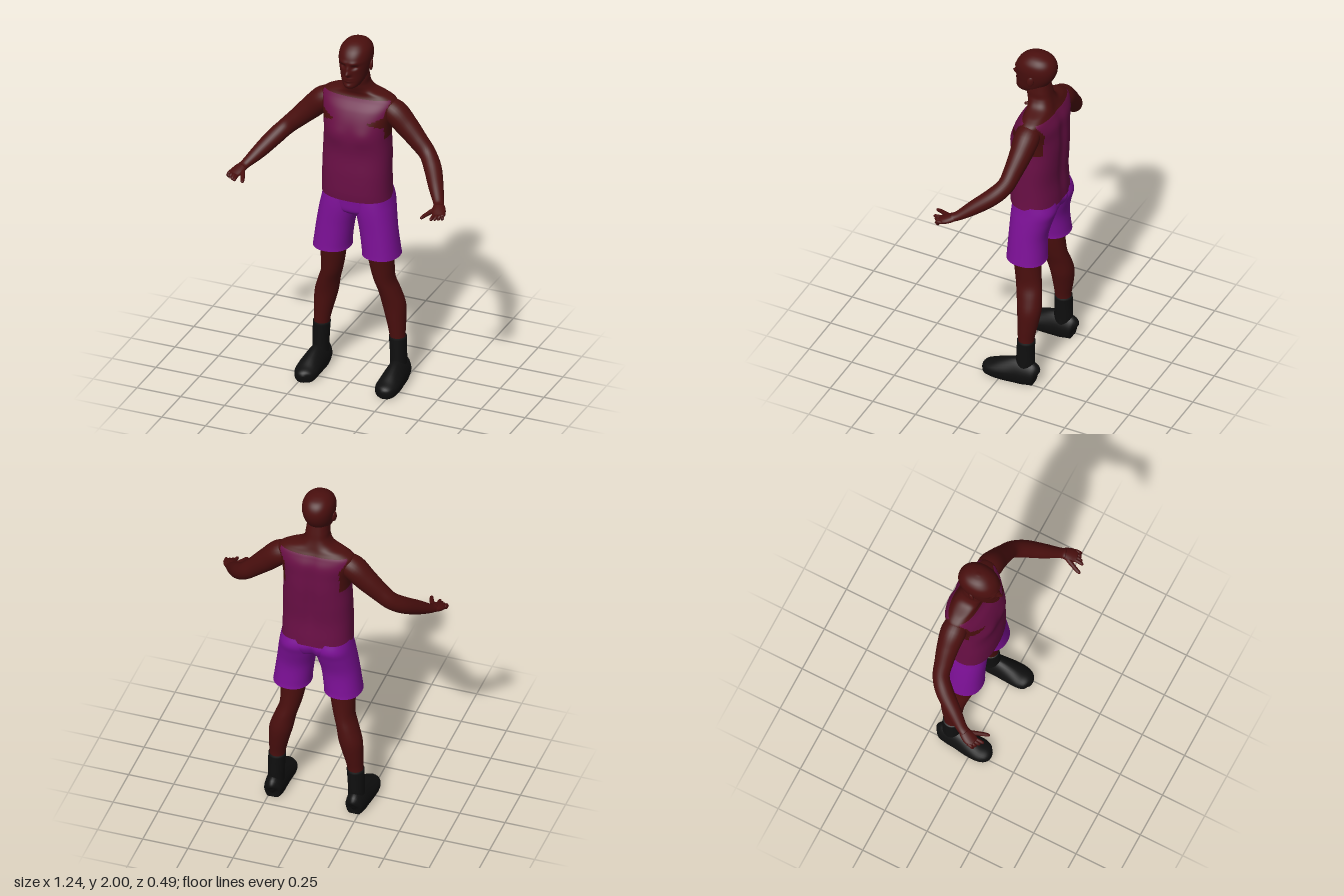
import * as THREE from 'three';

const mat = (name, color, side = THREE.FrontSide) => {
  const m = new THREE.MeshStandardMaterial({ color, side });
  m.name = name;
  return m;
};

// Smooth interpolation through a list of equally long number rows
function sample(rows, t) {
  const f = t * (rows.length - 1);
  const i = Math.min(Math.floor(f), rows.length - 2);
  const s = f - i;
  const at = (k) => rows[Math.max(0, Math.min(rows.length - 1, k))];
  const [a, b, c, d] = [at(i - 1), at(i), at(i + 1), at(i + 2)];
  return b.map((_, k) => 0.5 * (2 * b[k] + (c[k] - a[k]) * s
    + (2 * a[k] - 5 * b[k] + 4 * c[k] - d[k]) * s * s
    + (3 * b[k] - a[k] - 3 * c[k] + d[k]) * s * s * s));
}

// Closed skin over rings; ring(t) returns a centre and a point function.
// pick(point) chooses a material index for each quad.
function skinOver(ring, { rows = 24, cols = 28, caps = true, bump, pick } = {}) {
  const pts = [];
  const ends = [];
  for (let i = 0; i <= rows; i++) {
    const { centre, point } = ring(i / rows);
    if (i === 0 || i === rows) ends.push(centre);
    for (let j = 0; j < cols; j++) {
      const p = point((j / cols) * Math.PI * 2);
      if (bump) bump(p);
      pts.push(p);
    }
  }
  const faces = [[], []];
  const id = (i, j) => i * cols + (j % cols);
  for (let i = 0; i < rows; i++) for (let j = 0; j < cols; j++) {
    const [a, b, c, d] = [id(i, j), id(i + 1, j), id(i, j + 1), id(i + 1, j + 1)];
    const mid = pts[a].clone().add(pts[d]).multiplyScalar(0.5);
    faces[pick ? pick(mid) : 0].push(a, b, c, b, d, c);
  }
  if (caps) {
    const n = pts.length;
    if (bump) ends.forEach((p) => bump(p));
    pts.push(...ends);
    for (let j = 0; j < cols; j++) {
      faces[0].push(n, id(0, j), id(0, j + 1), n + 1, id(rows, j + 1), id(rows, j));
    }
  }
  const g = new THREE.BufferGeometry().setFromPoints(pts);
  g.setIndex([...faces[0], ...faces[1]]);
  if (pick) {
    g.addGroup(0, faces[0].length, 0);
    g.addGroup(faces[0].length, faces[1].length, 1);
  }
  g.computeVertexNormals();
  return g;
}

// Upright loft, rows bottom to top: [y, centre x, half width, front z, back z]
function loft(rows, opts = {}) {
  const e = 2 / (opts.power || 2);
  const pw = (v) => Math.sign(v) * Math.abs(v) ** e;
  return skinOver((t) => {
    const [y, cx, rx, zf, zb] = sample(rows, t);
    const cz = (zf + zb) / 2, rz = (zf - zb) / 2;
    return {
      centre: new THREE.Vector3(cx, y, cz),
      point: (a) => new THREE.Vector3(cx + rx * pw(Math.cos(a)), y, cz + rz * pw(Math.sin(a))),
    };
  }, opts);
}

// Limb along a path, rows: [x, y, z, half width, half height]
function limb(rows, opts = {}) {
  return skinOver((t) => {
    const [x, y, z, ra, rb] = sample(rows, t);
    const p = sample(rows, Math.max(0, t - 0.01)), q = sample(rows, Math.min(1, t + 0.01));
    const T = new THREE.Vector3(q[0] - p[0], q[1] - p[1], q[2] - p[2]).normalize();
    const A = new THREE.Vector3(0, 1, 0).cross(T).normalize();
    const B = A.clone().cross(T);
    const centre = new THREE.Vector3(x, y, z);
    return {
      centre,
      point: (a) => centre.clone().addScaledVector(A, ra * Math.cos(a)).addScaledVector(B, rb * Math.sin(a)),
    };
  }, opts);
}

const bell = (v, c, w) => Math.exp(-(((v - c) / w) ** 2));

export function createModel() {
  const model = new THREE.Group();
  model.name = 'standingMan';
  const skin = mat('skin', 0x4a0f0e);
  const shirt = mat('shirt', 0x690f45, THREE.DoubleSide);
  const cloth = mat('shorts', 0x7c1096, THREE.DoubleSide);
  const black = mat('footwear', 0x0f0f0f);
  const add = (name, geo, material) => {
    const m = new THREE.Mesh(geo, material);
    m.name = name;
    model.add(m);
    return m;
  };

  // Torso and neck: sleeveless shirt with armholes, bare shoulders above
  add('torso', loft([
    [1.09, 0, 0.19, 0.03, -0.24], [1.14, 0, 0.188, 0.034, -0.238], [1.24, 0, 0.187, 0.033, -0.232],
    [1.35, 0, 0.185, 0.026, -0.238], [1.45, 0, 0.18, 0.03, -0.243], [1.53, 0, 0.186, 0.018, -0.24],
    [1.6, 0, 0.203, -0.01, -0.235], [1.65, 0, 0.207, -0.045, -0.216], [1.68, 0, 0.165, -0.058, -0.2],
    [1.705, 0, 0.095, -0.052, -0.19], [1.74, 0, 0.067, -0.04, -0.178], [1.78, 0, 0.062, -0.035, -0.168],
    [1.83, 0, 0.055, -0.05, -0.155],
  ], {
    rows: 110, cols: 96, power: 2.4, caps: false,
    bump: (p) => {
      const x = Math.abs(p.x);
      if (p.z < -0.1) p.z += 0.014 * bell(x, 0, 0.03) * bell(p.y, 1.4, 0.25);
      else p.z += 0.008 * bell(x, 0.08, 0.06) * bell(p.y, 1.47, 0.05);
    },
    pick: (p) => {
      const x = Math.abs(p.x);
      if (p.y > 1.664) return 0;
      if (p.y < 1.45) return 1;
      const notch = Math.max(0, 1 - Math.abs(p.y - 1.55) / 0.03);
      const edge = p.z > -0.1
        ? 0.172 + 0.02 * THREE.MathUtils.smoothstep(p.y, 1.6, 1.66) - 0.085 * notch
        : 0.15 + 0.035 * THREE.MathUtils.smoothstep(p.y, 1.58, 1.66);
      return x > edge ? 0 : 1;
    },
  }), [skin, shirt]);

  // Head with brow, eye sockets, nose, lips and chin raised from the surface
  add('head', loft([
    [1.75, 0, 0.022, 0.012, -0.07], [1.762, 0, 0.042, 0.026, -0.1], [1.795, 0, 0.062, 0.026, -0.135],
    [1.84, 0, 0.075, 0.026, -0.172], [1.88, 0, 0.083, 0.028, -0.192], [1.92, 0, 0.086, 0.026, -0.198],
    [1.955, 0, 0.079, 0.008, -0.188], [1.98, 0, 0.06, -0.02, -0.165], [1.994, 0, 0.035, -0.05, -0.13],
    [2.0, 0, 0.006, -0.08, -0.095],
  ], {
    rows: 70, cols: 80, power: 2.15,
    bump: (p) => {
      if (p.z < -0.04) return;
      const x = Math.abs(p.x), y = p.y;
      p.z += 0.026 * bell(x, 0, 0.013) * bell(y, 1.842, 0.014)
        + 0.012 * bell(x, 0, 0.01) * bell(y, 1.868, 0.02)
        + 0.006 * bell(x, 0.03, 0.03) * bell(y, 1.905, 0.01)
        - 0.014 * bell(x, 0.033, 0.016) * bell(y, 1.88, 0.011)
        + 0.008 * bell(x, 0, 0.022) * (bell(y, 1.814, 0.006) + bell(y, 1.8, 0.006))
        + 0.006 * bell(x, 0, 0.02) * bell(y, 1.772, 0.012);
    },
  }), skin);

  // Shorts seat
  add('shortsSeat', loft([
    [0.985, 0, 0.07, -0.03, -0.17], [1.01, 0, 0.14, -0.005, -0.215], [1.06, 0, 0.185, 0, -0.24],
    [1.1, 0, 0.184, 0, -0.234], [1.13, 0, 0.175, -0.005, -0.22],
  ], {
    cols: 48, power: 2.4,
    bump: (p) => { if (p.z < -0.1) p.z += 0.025 * bell(p.x, 0, 0.025); },
  }), cloth);

  for (const [side, s] of [['left', 1], ['right', -1]]) {
    const flip = (rows, k) => rows.map((r) => r.map((v, i) => (i === k ? v * s : v)));
    const upright = (name, rows, m, o) => add(side + name, loft(flip(rows, 1), o), m);
    const along = (name, rows, m, o) => add(side + name, limb(flip(rows, 0), o), m);

    // Ear
    const ear = add(side + 'Ear', new THREE.SphereGeometry(1, 16, 12), skin);
    ear.scale.set(0.01, 0.031, 0.019);
    ear.position.set(0.084 * s, 1.863, -0.088);
    ear.rotation.set(-0.15, 0.3 * s, 0);

    // Shorts leg, open at the hem
    upright('ShortsLeg', [
      [0.755, 0.14, 0.102, 0.01, -0.208], [0.79, 0.137, 0.1, 0.008, -0.204], [0.9, 0.122, 0.1, 0.005, -0.202],
      [1.0, 0.103, 0.104, 0.005, -0.226], [1.06, 0.096, 0.1, 0.002, -0.243], [1.11, 0.092, 0.095, -0.004, -0.232],
    ], cloth, { caps: false, cols: 40, power: 2.2 });

    // Bare leg
    upright('Leg', [
      [0.22, 0.219, 0.041, -0.09, -0.174], [0.28, 0.215, 0.043, -0.086, -0.175], [0.36, 0.206, 0.053, -0.08, -0.19],
      [0.45, 0.192, 0.063, -0.073, -0.202], [0.53, 0.172, 0.058, -0.058, -0.196], [0.6, 0.15, 0.056, -0.042, -0.184],
      [0.68, 0.14, 0.064, -0.03, -0.176], [0.77, 0.134, 0.072, -0.018, -0.172], [0.88, 0.125, 0.08, -0.015, -0.175],
    ], skin, { rows: 36 });

    // Sock and shoe
    upright('Sock', [
      [0.07, 0.222, 0.043, -0.075, -0.178], [0.14, 0.222, 0.044, -0.079, -0.181],
      [0.2, 0.22, 0.045, -0.081, -0.18], [0.265, 0.217, 0.047, -0.083, -0.18],
    ], black, { rows: 12 });
    along('Shoe', [
      [0.224, 0.06, -0.2, 0.012, 0.02], [0.225, 0.064, -0.188, 0.045, 0.058], [0.226, 0.066, -0.14, 0.055, 0.073],
      [0.228, 0.064, -0.08, 0.058, 0.074], [0.231, 0.053, -0.01, 0.063, 0.06], [0.23, 0.042, 0.05, 0.062, 0.042],
      [0.226, 0.036, 0.09, 0.046, 0.031], [0.222, 0.032, 0.108, 0.012, 0.012],
    ], black, {
      rows: 32,
      bump: (p) => {
        const up = THREE.MathUtils.clamp((p.y - 0.05) / 0.09, 0, 1);
        p.x += (0.224 * s - p.x) * 0.25 * up;
        p.y = p.y < 0.05 ? Math.max(0.003, 0.05 - (0.05 - p.y) * 1.5) : p.y;
      },
    });

    // Arm from shoulder to wrist
    along('Arm', [
      [0.13, 1.615, -0.128, 0.05, 0.05], [0.2, 1.588, -0.128, 0.068, 0.066], [0.27, 1.522, -0.125, 0.06, 0.062],
      [0.34, 1.453, -0.115, 0.05, 0.053], [0.4, 1.395, -0.1, 0.045, 0.047], [0.452, 1.342, -0.05, 0.047, 0.045],
      [0.505, 1.282, 0.03, 0.04, 0.038], [0.55, 1.235, 0.1, 0.029, 0.024], [0.563, 1.224, 0.13, 0.029, 0.021],
    ], skin, { rows: 48 });

    // Hand: palm, four slightly curled fingers, thumb
    along('Palm', [
      [0.553, 1.232, 0.105, 0.024, 0.018], [0.567, 1.22, 0.135, 0.034, 0.02],
      [0.578, 1.21, 0.165, 0.037, 0.018], [0.584, 1.204, 0.192, 0.03, 0.012],
    ], skin, { rows: 14, cols: 20 });
    for (let f = 0; f < 4; f++) {
      const x = 0.56 + f * 0.016, tip = 0.236 - f * 0.013;
      along('Finger' + (f + 1), [
        [x, 1.208, 0.165, 0.01, 0.01], [x + 0.003, 1.203, 0.195, 0.01, 0.01],
        [x + 0.002, 1.197 - f * 0.002, tip - 0.008, 0.009, 0.009], [x, 1.193 - f * 0.002, tip, 0.003, 0.003],
      ], skin, { rows: 10, cols: 10 });
    }
    along('Thumb', [
      [0.556, 1.218, 0.135, 0.014, 0.013], [0.537, 1.21, 0.175, 0.013, 0.012],
      [0.52, 1.204, 0.215, 0.011, 0.01], [0.512, 1.2, 0.238, 0.009, 0.008], [0.51, 1.199, 0.246, 0.003, 0.003],
    ], skin, { rows: 12, cols: 10 });
  }
  return model;
}
